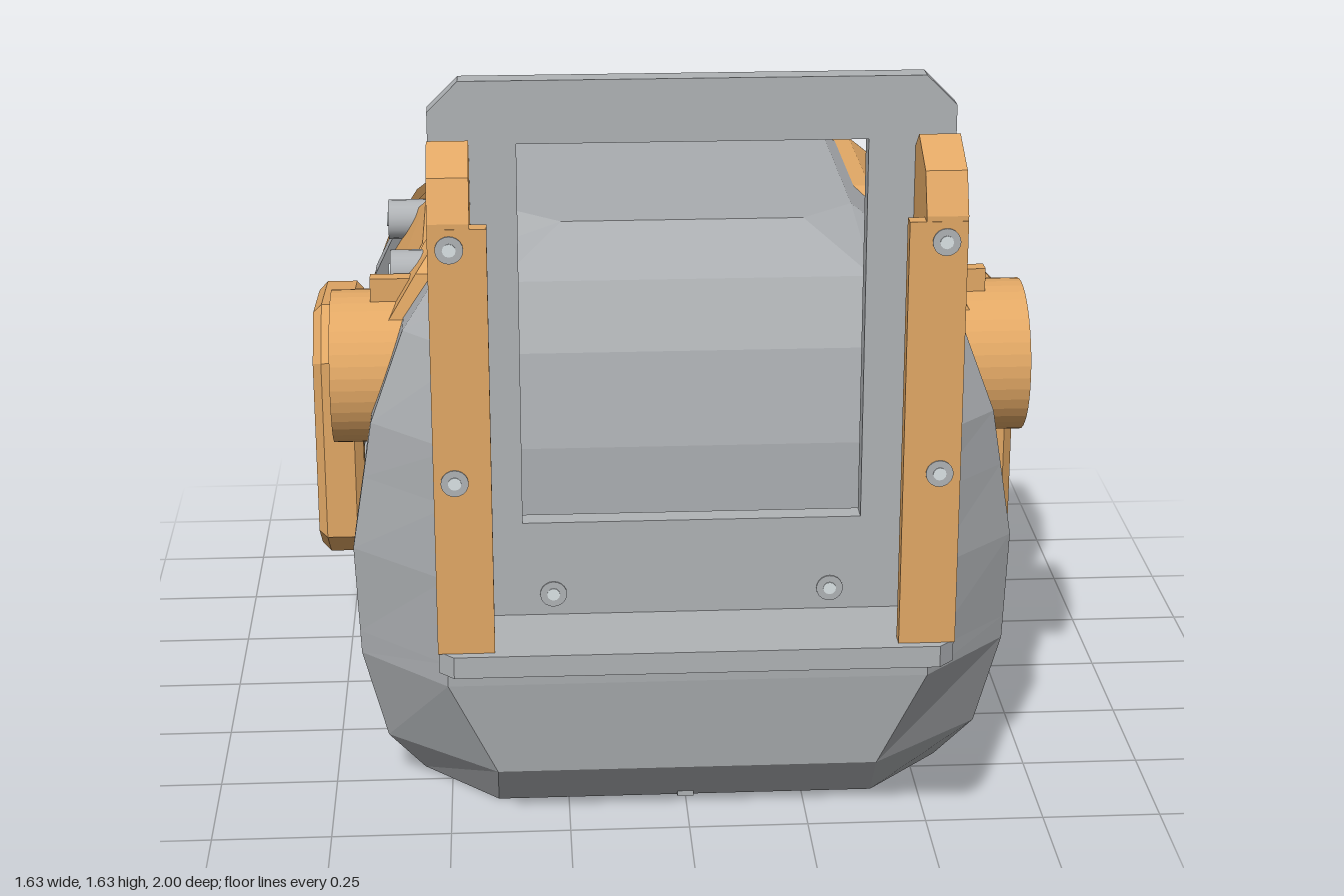
import * as THREE from 'three';

const mat = (name, color) => Object.assign(new THREE.MeshStandardMaterial({ color }), { name });
const V = (x, y, z) => new THREE.Vector3(x, y, z);

// Shell cross-sections: y, front half width, front z, side half width,
// side front z, side back z, back half width, back z
const BASE = [
  [0, 0.40, 0.60, 0.56, 0.44, -0.54, 0.38, -0.69],
  [0.11, 0.40, 0.69, 0.635, 0.50, -0.62, 0.43, -0.80],
  [0.32, 0.50, 0.71, 0.685, 0.53, -0.68, 0.50, -0.86],
  [0.56, 0.50, 0.71, 0.695, 0.53, -0.66, 0.49, -0.81],
  [0.84, 0.48, 0.70, 0.65, 0.53, -0.53, 0.46, -0.67],
  [1.03, 0.44, 0.66, 0.58, 0.50, -0.40, 0.41, -0.52],
  [1.16, 0.38, 0.59, 0.49, 0.45, -0.28, 0.35, -0.39],
  [1.25, 0.25, 0.47, 0.36, 0.37, -0.18, 0.28, -0.23],
];
function rowAt(y) {
  let i = 0;
  while (i < BASE.length - 2 && y > BASE[i + 1][0]) i++;
  const a = BASE[i], b = BASE[i + 1], t = (y - a[0]) / (b[0] - a[0]);
  return a.map((v, k) => v + (b[k] - v) * t);
}

// Flat-shaded surface through rows of points; skip(row, column) leaves openings
function loft(rows, closed, skip = () => false, cap = false) {
  const pos = [], n = rows[0].length;
  const tri = (...p) => p.forEach(v => pos.push(v.x, v.y, v.z));
  for (let r = 0; r < rows.length - 1; r++)
    for (let i = 0; i < (closed ? n : n - 1); i++) {
      if (skip(r, i)) continue;
      const j = (i + 1) % n, A = rows[r], B = rows[r + 1];
      tri(A[i], A[j], B[j]);
      tri(A[i], B[j], B[i]);
    }
  if (cap) {
    const top = rows[rows.length - 1], c = V(0, top[0].y, 0.12);
    top.forEach((p, i) => tri(p, top[(i + 1) % n], c));
  }
  const g = new THREE.BufferGeometry();
  g.setAttribute('position', new THREE.Float32BufferAttribute(pos, 3));
  g.computeVertexNormals();
  return g;
}

function mirrorX(geo) {
  const g = geo.index ? geo.toNonIndexed() : geo.clone();
  g.scale(-1, 1, 1);
  for (const a of Object.values(g.attributes))
    for (let i = 0; i < a.count; i += 3)
      for (let k = 0; k < a.itemSize; k++) {
        const s = a.getComponent(i + 1, k);
        a.setComponent(i + 1, k, a.getComponent(i + 2, k));
        a.setComponent(i + 2, k, s);
      }
  return g;
}

const box = (w, h, d, x, y, z) => new THREE.BoxGeometry(w, h, d).translate(x, y, z);
const cylX = (r, len, x, y, z, n = 20) => new THREE.CylinderGeometry(r, r, len, n).rotateZ(-Math.PI / 2).translate(x, y, z);
const cylZ = (r, len, x, y, z, n = 20) => new THREE.CylinderGeometry(r, r, len, n).rotateX(Math.PI / 2).translate(x, y, z);
function beam(a, b, w, h) {
  const o = new THREE.Object3D();
  o.position.copy(a);
  o.lookAt(b);
  o.position.add(b).multiplyScalar(0.5);
  o.updateMatrix();
  return new THREE.BoxGeometry(w, h, a.distanceTo(b) + 0.02).applyMatrix4(o.matrix);
}
const toPoints = list => list.map(([x, y]) => new THREE.Vector2(x, y));
function extrude(pts, hole, depth, bevel = 0) {
  const s = new THREE.Shape(toPoints(pts));
  if (hole) s.holes.push(hole instanceof THREE.Path ? hole : new THREE.Path(toPoints(hole)));
  return new THREE.ExtrudeGeometry(s, {
    depth, curveSegments: 16, bevelEnabled: bevel > 0, bevelSize: bevel,
    bevelThickness: bevel, bevelOffset: -bevel, bevelSegments: 1,
  });
}
// Side outlines are given as (z, y) and extruded along +x
const sidePlate = (pts, hole, depth, bevel) => {
  const f = list => list && list.map(([z, y]) => [-z, y]);
  return extrude(f(pts), f(hole), depth, bevel).rotateY(Math.PI / 2);
};
// Lays a side plate on the sloping flank of the shell
function hug(geo, offset) {
  const p = geo.attributes.position;
  for (let i = 0; i < p.count; i++) p.setX(i, p.getX(i) + rowAt(p.getY(i))[3] + offset);
  geo.computeVertexNormals();
  return geo;
}
function roundRect(w, z0, z1, r) {
  const p = new THREE.Path();
  p.absarc(w - r, z0 + r, r, -Math.PI / 2, 0);
  p.absarc(w - r, z1 - r, r, 0, Math.PI / 2);
  p.absarc(-w + r, z1 - r, r, Math.PI / 2, Math.PI);
  p.absarc(-w + r, z0 + r, r, Math.PI, Math.PI * 1.5);
  return p;
}

export function createModel() {
  const grey = mat('grey', 0xb0b3b6), orange = mat('orange', 0xe2a865);
  const glass = mat('paleVisor', 0xdbe3e6), dark = mat('darkGrey', 0x606264);
  const shellMat = mat('shellGrey', 0xaaadb0);
  shellMat.side = glass.side = THREE.DoubleSide;
  const model = new THREE.Group();
  const add = (name, geo, m) => {
    const mesh = new THREE.Mesh(geo, m);
    mesh.name = name;
    model.add(mesh);
  };
  const pair = (name, geo, m) => {
    add(name + 'Left', geo, m);
    add(name + 'Right', mirrorX(geo), m);
  };

  // Shell, open below, with side openings
  const ring = ([y, a, F, b, f, g, a2, G]) => {
    const half = [V(a, y, F), V(b, y, f),
      ...[0.42, -0.18, -0.42, -0.54].map(z => V(b, y, Math.min(f, Math.max(g, z)))), V(b, y, g), V(a2, y, G)];
    return [...half, ...half.map(p => V(-p.x, p.y, p.z)).reverse()];
  };
  const ys = [0, 0.11, 0.32, 0.37, 0.56, 0.72, 0.84, 1.03, 1.16, 1.25];
  const openings = [3, 4, 11, 12];
  add('shell', loft(ys.map(y => ring(rowAt(y))), true,
    (r, i) => (r === 3 || r === 4) && openings.includes(i), true), shellMat);

  // Underside rim, inner lining and its ceiling
  const [, fx, fz, sx, sf, sb, bx, bz] = BASE[0];
  const base = [[fx, fz], [sx, sf], [sx, sb], [bx, bz]];
  const baseRing = [...base, ...base.map(([x, z]) => [-x, z]).reverse()];
  const neck = roundRect(0.5, -0.61, 0.52, 0.12);
  add('bottomRim', extrude(baseRing, neck, 0.03).rotateX(Math.PI / 2).translate(0, 0.031, 0), grey);
  const loop = neck.getPoints(6);
  add('lining', loft([0.01, 0.33].map(y => loop.map(p => V(p.x, y, p.y))), true), shellMat);
  add('liningCeiling', new THREE.ShapeGeometry(new THREE.Shape(loop)).rotateX(Math.PI / 2).translate(0, 0.33, 0), shellMat);
  pair('sideTab', box(0.12, 0.06, 0.035, 0.54, 0.03, -0.03), grey);
  add('frontTab', box(0.035, 0.02, 0.1, 0, 0.01, 0.56), grey);
  add('backTab', box(0.035, 0.02, 0.1, 0, 0.01, -0.64), grey);

  // Visor: y, edge half width, bulge half width, bulge z
  const visor = [
    [0.45, 0.36, 0.30, -0.935], [0.60, 0.47, 0.38, -0.905], [0.80, 0.46, 0.40, -0.80],
    [0.97, 0.42, 0.35, -0.665], [1.10, 0.36, 0.30, -0.525], [1.17, 0.31, 0.27, -0.43], [1.2, 0.30, 0.26, -0.37],
  ].map(([y, xe, xs, zs]) => {
    const ze = rowAt(y)[7];
    return [V(xe, y, ze), V(xs, y, zs), V(-xs, y, zs), V(-xe, y, ze)];
  });
  add('visor', loft(visor, false), glass);

  // Visor rails: wide outer rail and slim inner rail
  const path = [V(0.33, 1.225, -0.25), V(0.40, 1.12, -0.43), V(0.515, 0.83, -0.745), V(0.515, 0.55, -0.895), V(0.39, 0.43, -0.95)];
  for (let i = 0; i < path.length - 1; i++) {
    const a = path[i], b = path[i + 1];
    pair('visorRail', beam(a, b, 0.065, 0.055), grey);
    const inner = p => V(p.x - 0.045, p.y - 0.02, p.z + 0.015);
    pair('visorInnerRail', beam(inner(a), inner(b), 0.045, 0.07), grey);
  }
  add('upperBar', box(0.6, 0.035, 0.045, 0, 1.225, -0.405), grey);
  add('lowerBar', box(0.66, 0.045, 0.04, 0, 0.42, -0.979), grey);
  pair('upperHinge', cylZ(0.028, 0.17, 0.255, 1.23, -0.305, 12), grey);
  pair('upperHub', cylZ(0.044, 0.05, 0.26, 1.227, -0.392, 12), grey);
  pair('lowerHinge', cylZ(0.024, 0.15, 0.36, 0.42, -0.92, 12), grey);
  pair('lowerHub', cylZ(0.05, 0.05, 0.36, 0.42, -0.94, 12), grey);

  // Rear breather plate and perforations
  const oct = (w, h, c) => [[w - c, -h], [w, -h + c], [w, h - c], [w - c, h], [-w + c, h], [-w, h - c], [-w, -h + c], [-w + c, -h]];
  const circlePath = r => new THREE.Path().absarc(0, 0, r, 0, Math.PI * 2);
  add('breatherPlate', extrude(oct(0.16, 0.117, 0.045), circlePath(0.085), 0.04).translate(0, 0.26, -0.902), orange);
  add('breatherRing', new THREE.TorusGeometry(0.072, 0.016, 8, 24).translate(0, 0.26, -0.88), grey);
  add('breatherCore', cylZ(0.065, 0.02, 0, 0.26, -0.865), grey);
  pair('breatherBolt', cylZ(0.014, 0.008, 0.123, 0.26, -0.901, 12), dark);
  for (let i = 0; i < 4; i++)
    for (let j = 0; j < 3; j++) {
      const y = 0.18 + i * 0.045;
      pair('perforation', cylZ(0.01, 0.008, 0.25 + j * 0.05, y, rowAt(y)[7] - 0.002, 10), dark);
    }

  // Side vents with slats
  const ventOuter = [[-0.23, 0.85], [-0.5, 0.82], [-0.57, 0.63], [-0.63, 0.39], [-0.53, 0.27], [-0.24, 0.23], [-0.13, 0.31], [-0.13, 0.74]];
  const ventInner = [[-0.21, 0.73], [-0.47, 0.73], [-0.51, 0.65], [-0.55, 0.45], [-0.5, 0.38], [-0.23, 0.355], [-0.175, 0.41], [-0.175, 0.67]];
  pair('ventFrame', sidePlate(ventOuter, ventInner, 0.07, 0.02).translate(0.722, 0, 0), orange);
  for (let i = 0; i < 5; i++)
    pair('ventSlat', new THREE.BoxGeometry(0.055, 0.012, 0.37).rotateZ(-0.3).translate(0.735, 0.405 + i * 0.065, -0.36), grey);
  for (const [y, z] of [[0.765, -0.275], [0.33, -0.285]]) {
    pair('ventBolt', cylX(0.025, 0.006, 0.811, y, z), grey);
    pair('ventBoltHead', cylX(0.014, 0.006, 0.813, y, z, 12), glass);
    pair('ventPeg', cylX(0.04, 0.1, 0.68, y, z), grey);
  }

  // Ear discs
  const earCircle = circlePath(0.163).getPoints(20).slice(0, -1).map(p => [p.x, p.y]);
  pair('earRing', extrude(earCircle, circlePath(0.132), 0.2).rotateY(Math.PI / 2).translate(0.535, 0.893, 0.32), orange);
  pair('earDisc', cylX(0.134, 0.16, 0.64, 0.893, 0.32, 32), grey);
  pair('earPin', cylX(0.013, 0.008, 0.722, 0.83, 0.32, 10), glass);
  pair('earStrap', box(0.13, 0.05, 0.035, 0.585, 1.075, 0.35), orange);

  // Upper side brackets and pads
  const band = [[0.42, 1.0], [0.4, 1.12], [0.28, 1.18], [0.17, 1.23], [-0.23, 1.23], [-0.31, 1.1], [-0.38, 0.98], [-0.41, 0.86],
    [-0.31, 0.86], [-0.26, 0.98], [-0.23, 1.08], [-0.18, 1.185], [0.15, 1.185], [0.25, 1.14], [0.34, 1.09], [0.36, 1.0]];
  pair('sideBracket', hug(sidePlate(band, null, 0.06), -0.025), orange);
  const pad = [[0.24, 1.04], [0.18, 1.12], [-0.14, 1.12], [-0.2, 1.08], [-0.22, 0.97], [0, 0.975], [0.15, 0.99]];
  pair('sidePad', hug(sidePlate(pad, null, 0.04), -0.015), orange);
  for (const [z, y] of [[0.28, 1.09], [-0.205, 1.06]]) {
    const x = rowAt(y)[3];
    pair('bracketBolt', cylX(0.045, 0.1, x + 0.02, y, z), grey);
    pair('bracketBoltHead', cylX(0.016, 0.008, x + 0.07, y, z, 12), glass);
  }
  pair('bracketHook', hug(sidePlate([[-0.17, 1.06], [-0.24, 1.06], [-0.3, 0.92], [-0.23, 0.92]], null, 0.045), 0), grey);

  // Front carrying frame, shelf and posts
  const plate = [[-0.51, 0.475], [0.51, 0.475], [0.51, 1.57], [0.45, 1.63], [-0.45, 1.63], [-0.51, 1.57]];
  const gap = [[-0.34, 0.72], [0.34, 0.72], [0.34, 1.505], [-0.34, 1.505]];
  add('framePlate', extrude(plate, gap, 0.045).translate(0, 0, 0.757), grey);
  const shelf = [[-0.51, 0.757], [0.51, 0.757], [0.51, 0.97], [0.48, 1], [-0.48, 1], [-0.51, 0.97]];
  add('frameShelf', extrude(shelf, null, 0.045).rotateX(Math.PI / 2).translate(0, 0.52, 0), grey);
  const post = [[0.98, 0.52], [0.98, 1.4], [0.945, 1.48], [0.845, 1.525], [0.8, 1.49], [0.8, 0.52]];
  pair('post', sidePlate(post, null, 0.08).translate(0.431, 0, 0), orange);
  pair('postFlange', box(0.112, 0.87, 0.032, 0.455, 0.955, 0.965), orange);
  pair('framePeg', box(0.11, 0.13, 0.1, 0.275, 0.565, 0.72), grey);
  for (const [x, y, z] of [[0.47, 1.35, 0.981], [0.47, 0.88, 0.981], [0.28, 0.565, 0.802]]) {
    pair('frameBolt', cylZ(0.027, 0.006, x, y, z), grey);
    pair('frameBoltHead', cylZ(0.013, 0.006, x, y, z + 0.002, 12), glass);
  }
  return model;
}
